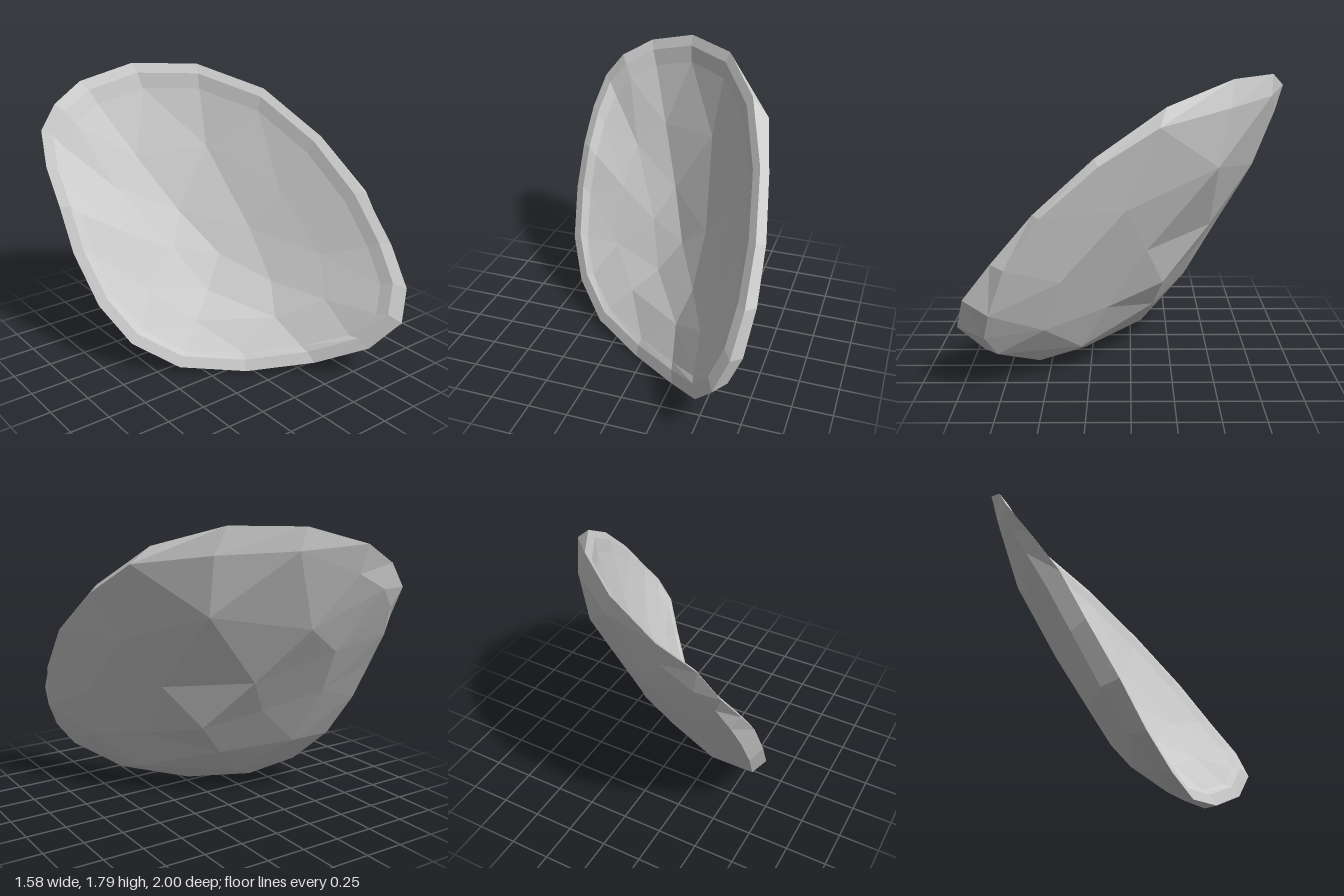
import * as THREE from 'three';

const toPoints = (list) => list.map((p) => new THREE.Vector3(...p));

// Crest of the rim, counter-clockwise as seen from the open side
const RIM = toPoints([
  [0.63, 0.41, 1], [0.71, 0.6, 0.95], [0.74, 0.82, 0.78], [0.73, 1.1, 0.54], [0.66, 1.4, 0.2],
  [0.51, 1.66, -0.2], [0.26, 1.79, -0.6], [-0.07, 1.79, -0.88], [-0.4, 1.69, -1], [-0.61, 1.57, -0.97],
  [-0.73, 1.42, -0.94], [-0.78, 1.22, -0.8], [-0.79, 1, -0.63], [-0.79, 0.73, -0.48], [-0.74, 0.43, -0.28],
  [-0.62, 0.2, -0.1], [-0.4, 0.05, 0.11], [-0.05, 0.01, 0.35], [0.28, 0.08, 0.62], [0.5, 0.22, 0.87],
]);
// Shoulder below the crest, where the side turns into the back
const SHOULDER = toPoints([
  [0.68, 0.36, 0.84], [0.75, 0.52, 0.8], [0.79, 0.8, 0.7], [0.78, 1.09, 0.5], [0.71, 1.36, 0.18],
  [0.62, 1.56, -0.16], [0.33, 1.63, -0.58], [-0.03, 1.66, -0.87], [-0.39, 1.52, -0.95], [-0.58, 1.42, -0.95],
  [-0.68, 1.3, -0.9], [-0.73, 1.12, -0.81], [-0.74, 0.92, -0.69], [-0.74, 0.67, -0.55], [-0.69, 0.39, -0.37],
  [-0.57, 0.18, -0.18], [-0.37, 0.04, 0.04], [-0.04, 0, 0.3], [0.33, 0.07, 0.56], [0.58, 0.22, 0.78],
]);
const OPEN = new THREE.Vector3(-0.531, 0.562, 0.633);
const CENTRE = new THREE.Vector3(0.02, 0.97, -0.07);
const HOLLOW = new THREE.Vector3(0.29, -1.25, -0.25);
const HOLLOW_TIP = CENTRE.clone().addScaledVector(HOLLOW, 0.28);
const BACK_TIP = new THREE.Vector3(0.16, 0.52, -0.2);

const every = (points, step) => points.filter((_, i) => i % step === 0);

// Ring of the back: the shoulder drawn towards the tip and swelled outwards
const backRing = (scale, bulge, step) => every(SHOULDER, step).map((p) =>
  BACK_TIP.clone().lerp(p, scale).addScaledVector(OPEN, -bulge));

// Ring of the hollow: the rim drawn inwards and sunk; shallower where the rim dips
const hollowRing = (scale, depth, step = 1) => every(RIM, step).map((p) => {
  const dip = THREE.MathUtils.clamp((p.dot(OPEN) - 0.03) / 0.46, 0.4, 1);
  return CENTRE.clone().lerp(p, scale).addScaledVector(HOLLOW, depth * (1 + (dip - 1) * scale));
});

// Joins rings from the rim inwards; each ring has as many or half as many points
function surface(rings, tip, flip) {
  const pos = [];
  const tri = (a, b, c) => (flip ? [a, c, b] : [a, b, c]).forEach((v) => pos.push(v.x, v.y, v.z));
  for (let k = 0; k + 1 < rings.length; k++) {
    const a = rings[k], b = rings[k + 1], n = b.length, half = a.length === 2 * n;
    for (let j = 0; j < n; j++) {
      const b0 = b[j], b1 = b[(j + 1) % n];
      if (half) {
        const a0 = a[2 * j], a1 = a[2 * j + 1], a2 = a[(2 * j + 2) % a.length];
        tri(a0, a1, b0);
        tri(a1, a2, b1);
        tri(a1, b1, b0);
      } else {
        const a0 = a[j], a1 = a[(j + 1) % n];
        tri(a0, a1, b0);
        tri(a1, b1, b0);
      }
    }
  }
  // Closing fan
  if (tip) {
    const last = rings[rings.length - 1];
    last.forEach((p, i) => tri(p, last[(i + 1) % last.length], tip));
  }
  const geo = new THREE.BufferGeometry();
  geo.setAttribute('position', new THREE.Float32BufferAttribute(pos, 3));
  geo.computeVertexNormals();
  return geo;
}

export function createModel() {
  const group = new THREE.Group();
  group.name = 'shellFragment';
  const shellGrey = new THREE.MeshStandardMaterial({ color: 0xcccccc, flatShading: true });
  shellGrey.name = 'shell grey';
  const add = (name, geo) => {
    const mesh = new THREE.Mesh(geo, shellGrey);
    mesh.name = name;
    group.add(mesh);
  };

  // Narrow side between crest and shoulder
  add('outerEdge', surface([RIM, SHOULDER], null, true));
  // Convex back
  add('outerShell', surface([SHOULDER, backRing(0.72, 0.07, 2), backRing(0.36, 0.05, 4)], BACK_TIP, true));
  // Thin flat lip
  add('rimLip', surface([RIM, hollowRing(0.93, 0)], null, false));
  // Concave hollow, deepest towards the bottom
  add('innerHollow', surface([
    hollowRing(0.93, 0), hollowRing(0.87, 0.04), hollowRing(0.6, 0.15, 2), hollowRing(0.3, 0.25, 4),
  ], HOLLOW_TIP, false));
  return group;
}
